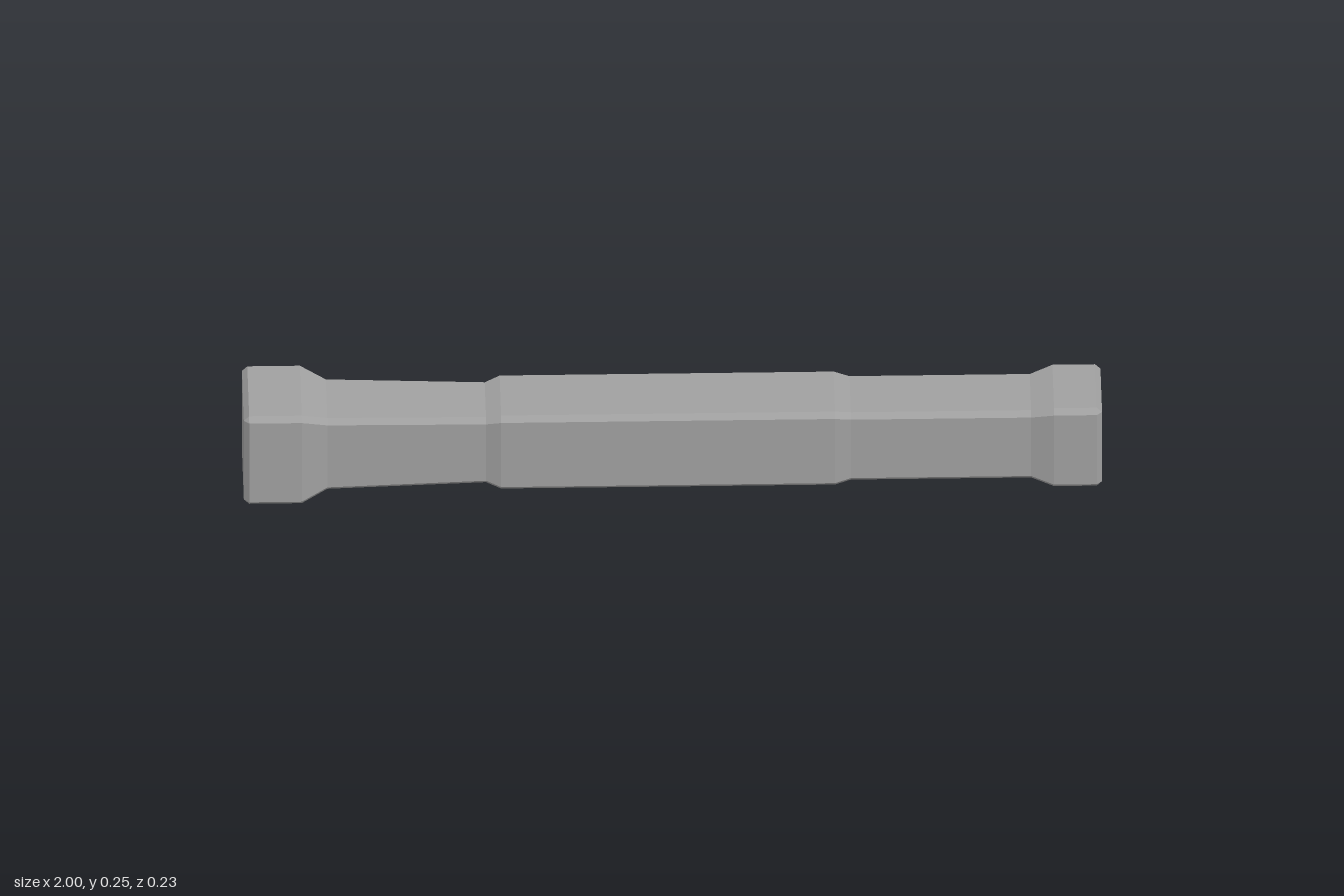
import * as THREE from 'three';

const MID_Y = 0.1235;
const BEVEL = 0.0125;

// Bevelled rectangle in the yz plane, counter-clockwise seen from +x
function ring([x, h, w, c = BEVEL]) {
  return [
    [h, c - w], [h, w - c], [h - c, w], [c - h, w],
    [-h, w - c], [-h, c - w], [c - h, -w], [h - c, -w],
  ].map(([y, z]) => new THREE.Vector3(x, MID_Y + y, z));
}

// Flat-faced solid through a row of rings, closed at both ends
function loft(sections) {
  const rings = sections.map(ring);
  const points = [];
  const tri = (a, b, c) => {
    if (new THREE.Triangle(a, b, c).getArea() > 1e-9) points.push(a, b, c);
  };
  for (let i = 0; i < rings.length - 1; i++) {
    const p = rings[i], q = rings[i + 1];
    for (let j = 0; j < 8; j++) {
      const k = (j + 1) % 8;
      tri(p[j], p[k], q[k]);
      tri(p[j], q[k], q[j]);
    }
  }
  const first = rings[0], last = rings[rings.length - 1];
  for (let j = 1; j < 7; j++) {
    tri(first[0], first[j + 1], first[j]);
    tri(last[0], last[j], last[j + 1]);
  }
  const geometry = new THREE.BufferGeometry().setFromPoints(points);
  geometry.computeVertexNormals();
  return geometry;
}

export function createModel() {
  const group = new THREE.Group();
  group.name = 'beam';
  const stone = new THREE.MeshStandardMaterial({ color: 0xa0a0a0, flatShading: true });
  stone.name = 'grey';

  // x, half height, half depth, edge bevel
  const sections = [
    [-1, 0.111, 0.103, 0],      // large end cap
    [-0.9875, 0.1235, 0.1155],
    [-0.865, 0.1235, 0.1155],
    [-0.805, 0.1, 0.092],       // tapering neck
    [-0.435, 0.092, 0.084],
    [-0.4, 0.103, 0.095],       // thicker middle
    [0.378, 0.103, 0.095],
    [0.415, 0.095, 0.087],      // straight neck
    [0.835, 0.095, 0.087],
    [0.888, 0.11, 0.102],       // small end
    [0.9875, 0.11, 0.102],
    [1, 0.0975, 0.0895, 0],     // small end cap
  ];
  const shaft = new THREE.Mesh(loft(sections), stone);
  shaft.name = 'shaft';
  group.add(shaft);
  return group;
}
